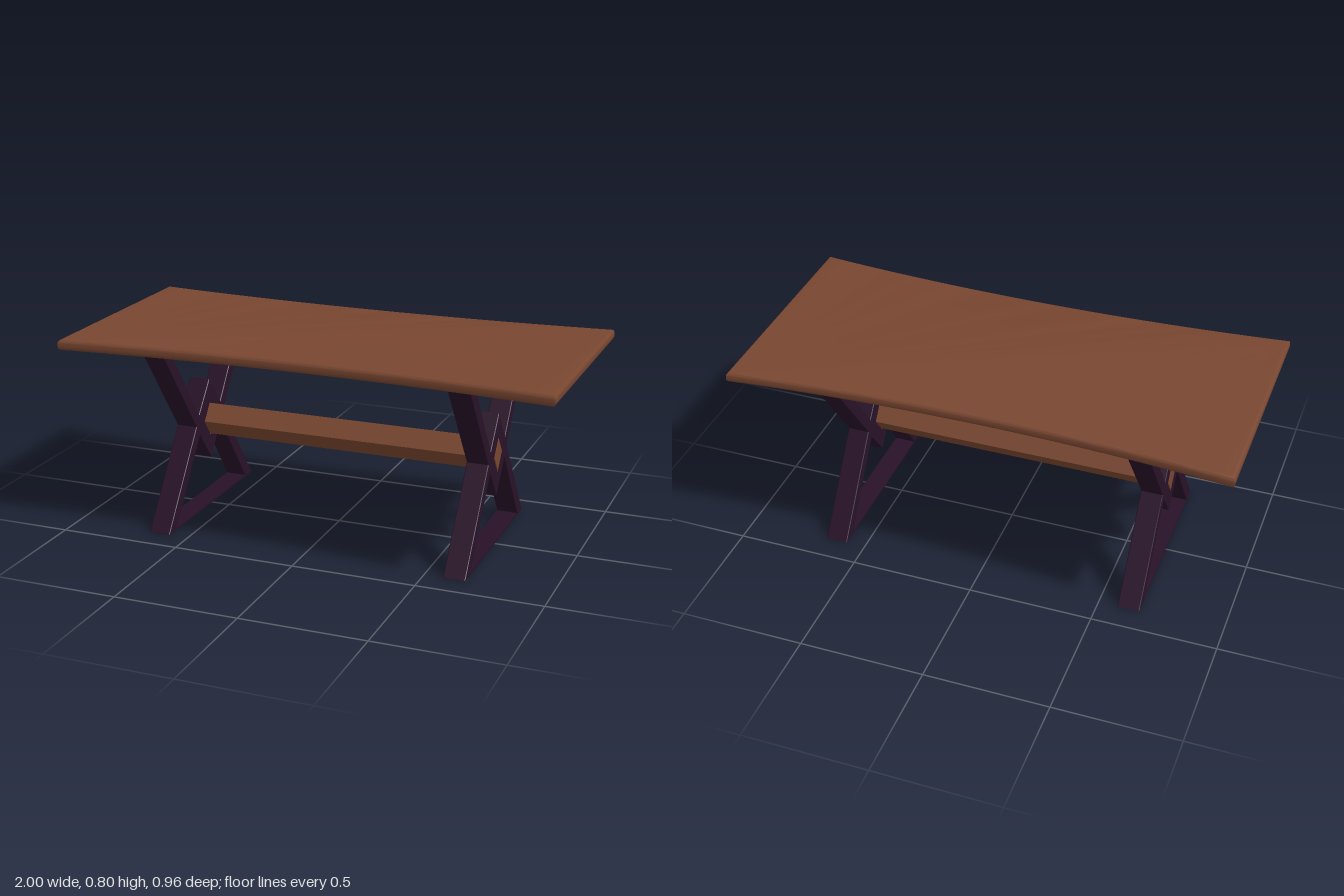
import * as THREE from 'three';
import { toCreasedNormals } from 'three/addons/utils/BufferGeometryUtils.js';

const wood = new THREE.MeshStandardMaterial({ color: 0x784630 });
wood.name = 'brownWood';
const dark = new THREE.MeshStandardMaterial({ color: 0x281128 });
dark.name = 'darkPaint';

const MID = 0.376; // height of the stretcher and leg crossing

function add(parent, name, geometry, material, x = 0, y = 0, z = 0) {
  const mesh = new THREE.Mesh(geometry, material);
  mesh.name = name;
  mesh.position.set(x, y, z);
  parent.add(mesh);
  return mesh;
}

const points = (list) => list.map(([a, b]) => new THREE.Vector2(a, b));

// Extrude a z-y outline along x, centred on x = 0
function extrudeAlongX(shape, length, bevel = 0) {
  const geometry = new THREE.ExtrudeGeometry(shape, {
    depth: length - 2 * bevel,
    bevelEnabled: bevel > 0,
    bevelSize: bevel,
    bevelOffset: -bevel,
    bevelThickness: bevel,
    bevelSegments: 1,
  });
  geometry.translate(0, 0, -length / 2 + bevel);
  return geometry.rotateY(Math.PI / 2);
}

// Slab with inward-curving long sides and a rounded rim
function tabletopGeometry() {
  const end = 0.478, control = 0.372, rim = 0.015, thick = 0.044;
  const shape = new THREE.Shape();
  shape.moveTo(-1, -end);
  shape.quadraticCurveTo(0, -control, 1, -end);
  shape.lineTo(1, end);
  shape.quadraticCurveTo(0, control, -1, end);
  shape.closePath();
  const geometry = new THREE.ExtrudeGeometry(shape, {
    depth: thick - 2 * rim,
    bevelSize: rim,
    bevelOffset: -rim,
    bevelThickness: rim,
    bevelSegments: 4,
    curveSegments: 24,
  });
  geometry.translate(0, 0, rim).rotateX(-Math.PI / 2);
  return toCreasedNormals(geometry, 0.7);
}

// Diamond outline around the crossing point
const diamond = (halfWidth, halfHeight) =>
  points([[halfWidth, MID], [0, MID + halfHeight], [-halfWidth, MID], [0, MID - halfHeight]]);

// X-shaped frame with a diamond centre, pierced for the stretcher
function legGeometry() {
  const right = [[0.335, 0.003], [0.4, 0.003], [0.128, MID], [0.4, 0.75], [0.335, 0.75], [0.1, 0.421]];
  const left = [...right].reverse().map(([z, y]) => [-z, y]);
  const outline = [[0, 0.205], [0.1, 0.332], ...right, [0, 0.546], ...left, [-0.1, 0.332]];
  const shape = new THREE.Shape(points(outline));
  shape.holes.push(new THREE.Path(diamond(0.05, 0.067)));
  return extrudeAlongX(shape, 0.088, 0.003);
}

export function createModel() {
  const table = new THREE.Group();
  table.name = 'table';

  add(table, 'tabletop', tabletopGeometry(), wood, 0, 0.752, 0);

  // Leg frames with thin floor and mounting plates
  const leg = legGeometry();
  const plate = new THREE.BoxGeometry(0.085, 0.008, 0.79);
  for (const side of [-1, 1]) {
    const frame = new THREE.Group();
    frame.name = side > 0 ? 'leftLegFrame' : 'rightLegFrame';
    frame.position.x = side * 0.622;
    add(frame, 'crossedLegs', leg, dark);
    add(frame, 'footPlate', plate, dark, 0, 0.004, 0);
    add(frame, 'mountingPlate', plate, dark, 0, 0.748, 0);
    table.add(frame);
  }

  // Diamond-section beam joining the frames
  add(table, 'stretcher', extrudeAlongX(new THREE.Shape(diamond(0.05, 0.067)), 1.336), wood);

  // Small plain plate under one corner
  const badge = new THREE.CylinderGeometry(1, 1, 0.006, 24).scale(0.045, 1, 0.085);
  add(table, 'undersidePlate', badge, dark, 0.925, 0.75, 0.27);

  return table;
}
